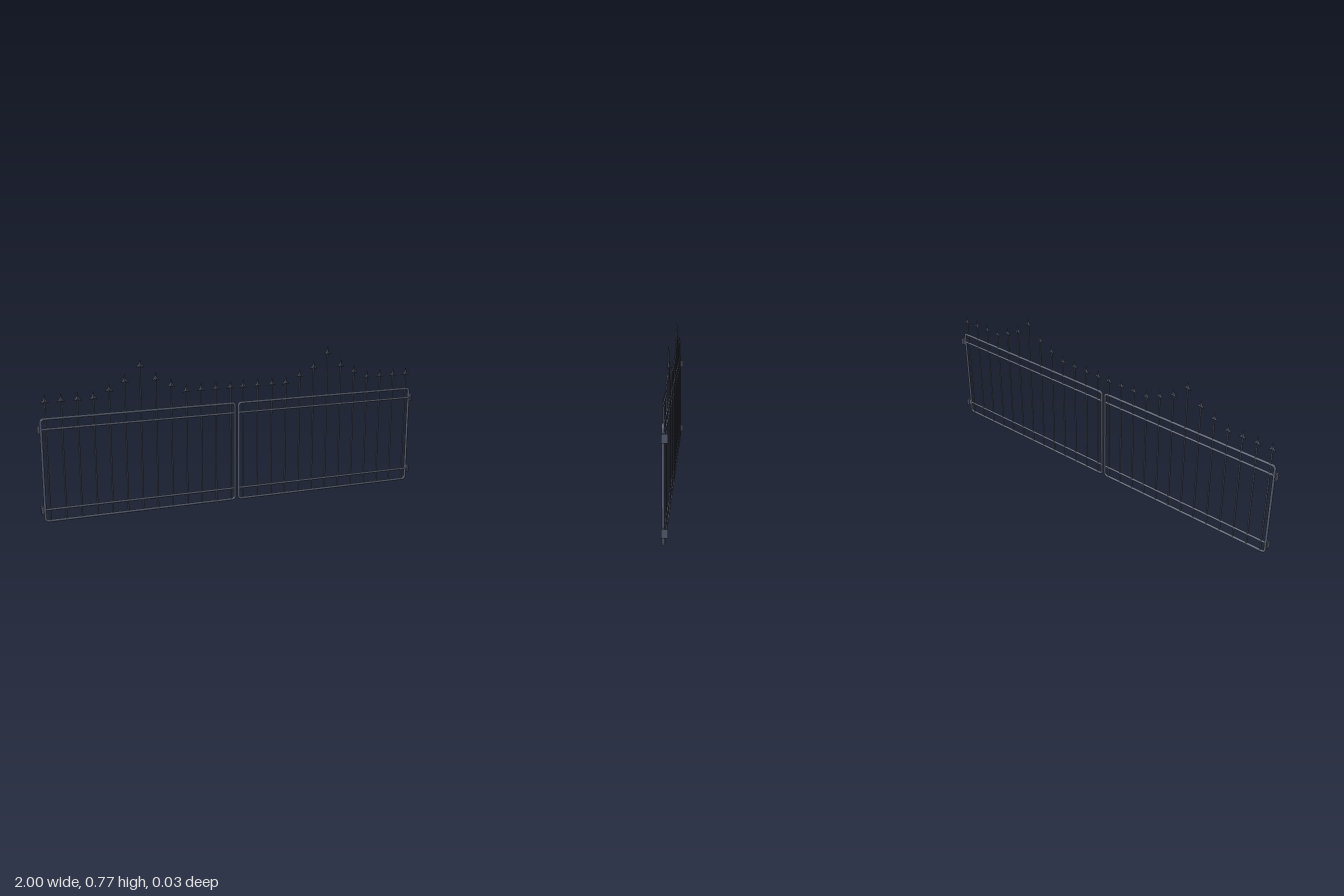
import * as THREE from 'three';

const material = new THREE.MeshStandardMaterial({ color: 0x565d70 });
const spearMaterial = new THREE.MeshStandardMaterial({ color: 0x4a5061, flatShading: true });

const R = 0.0065;          // frame tube radius
const Z = 0.0065;          // plane of the ironwork
const HALF = 0.492;        // half width of one leaf
const CENTRE = 0.4955;     // leaf centre
const TOP = 0.521;
const CORNER = 0.016;      // bend radius of the frame's centre line

function add(parent, name, geometry, x, y, z, mat = material) {
  const mesh = new THREE.Mesh(geometry, mat);
  mesh.name = name;
  mesh.position.set(x, y, z);
  parent.add(mesh);
  return mesh;
}

function tube(parent, name, length, radius, x, y, horizontal) {
  const geometry = new THREE.CylinderGeometry(radius, radius, length, 12);
  if (horizontal) geometry.rotateZ(Math.PI / 2);
  return add(parent, name, geometry, x, y, Z);
}

// Flat barbed spearhead: a rim outline with a raised middle on both faces, tip at y = 0
function spearGeometry() {
  const half = [[0.005, -0.022], [0.010, -0.033], [0.021, -0.045], [0.013, -0.046], [0.005, -0.043]];
  const rim = [
    [0, 0],
    ...half.map(([x, y]) => [-x, y]),
    [0, -0.05],
    ...half.slice().reverse(),
  ];
  const positions = [];
  rim.forEach(([ax, ay], i) => {
    const [bx, by] = rim[(i + 1) % rim.length];
    positions.push(0, -0.038, 0.0055, ax, ay, 0, bx, by, 0);
    positions.push(0, -0.038, -0.0055, bx, by, 0, ax, ay, 0);
  });
  const geometry = new THREE.BufferGeometry();
  geometry.setAttribute('position', new THREE.Float32BufferAttribute(positions, 3));
  geometry.computeVertexNormals();
  return geometry;
}

function createLeaf(side) {
  const leaf = new THREE.Group();
  leaf.name = side > 0 ? 'leftLeaf' : 'rightLeaf';
  leaf.position.x = side * CENTRE;

  // Round tube frame with bent corners
  const w = HALF - R, bottom = R, top = TOP - R;
  const midY = (bottom + top) / 2;
  for (const s of [-1, 1]) {
    tube(leaf, 'frameStile', top - bottom - 2 * CORNER, R, s * w, midY, false);
    tube(leaf, 'frameRail', 2 * (w - CORNER), R, 0, s > 0 ? top : bottom, true);
  }
  const bend = new THREE.TorusGeometry(CORNER, R, 12, 8, Math.PI / 2);
  [[1, 1], [-1, 1], [-1, -1], [1, -1]].forEach(([sx, sy], i) => {
    const y = sy > 0 ? top - CORNER : bottom + CORNER;
    add(leaf, 'frameCorner', bend, sx * (w - CORNER), y, Z).rotation.z = i * Math.PI / 2;
  });

  // Inner cross rails
  for (const y of [0.065, 0.464]) tube(leaf, 'crossRail', 2 * w, 0.006, 0, y, true);

  // Pickets, rising towards the middle of the leaf
  const spear = spearGeometry();
  const tips = [0.775, 0.706, 0.668];
  for (let i = -6; i <= 6; i++) {
    const tip = tips[Math.abs(i)] ?? 0.636;
    const length = tip - 0.045 - R;
    tube(leaf, 'picket', length, 0.0042, i * 0.0769, R + length / 2, false);
    add(leaf, 'spearhead', spear, i * 0.0769, tip, Z, spearMaterial);
  }

  // Hinges: outer plate with a tab reaching the stile
  for (const y of [0.065, 0.465]) {
    const plateX = side * (0.9975 - CENTRE);
    add(leaf, 'hingePlate', new THREE.BoxGeometry(0.005, 0.039, 0.028), plateX, y, 0.0005);
    add(leaf, 'hingeTab', new THREE.BoxGeometry(0.018, 0.039, 0.005), side * (0.988 - CENTRE), y, Z);
  }
  return leaf;
}

export function createModel() {
  const gate = new THREE.Group();
  gate.name = 'doubleGate';
  gate.add(createLeaf(-1), createLeaf(1));
  return gate;
}
